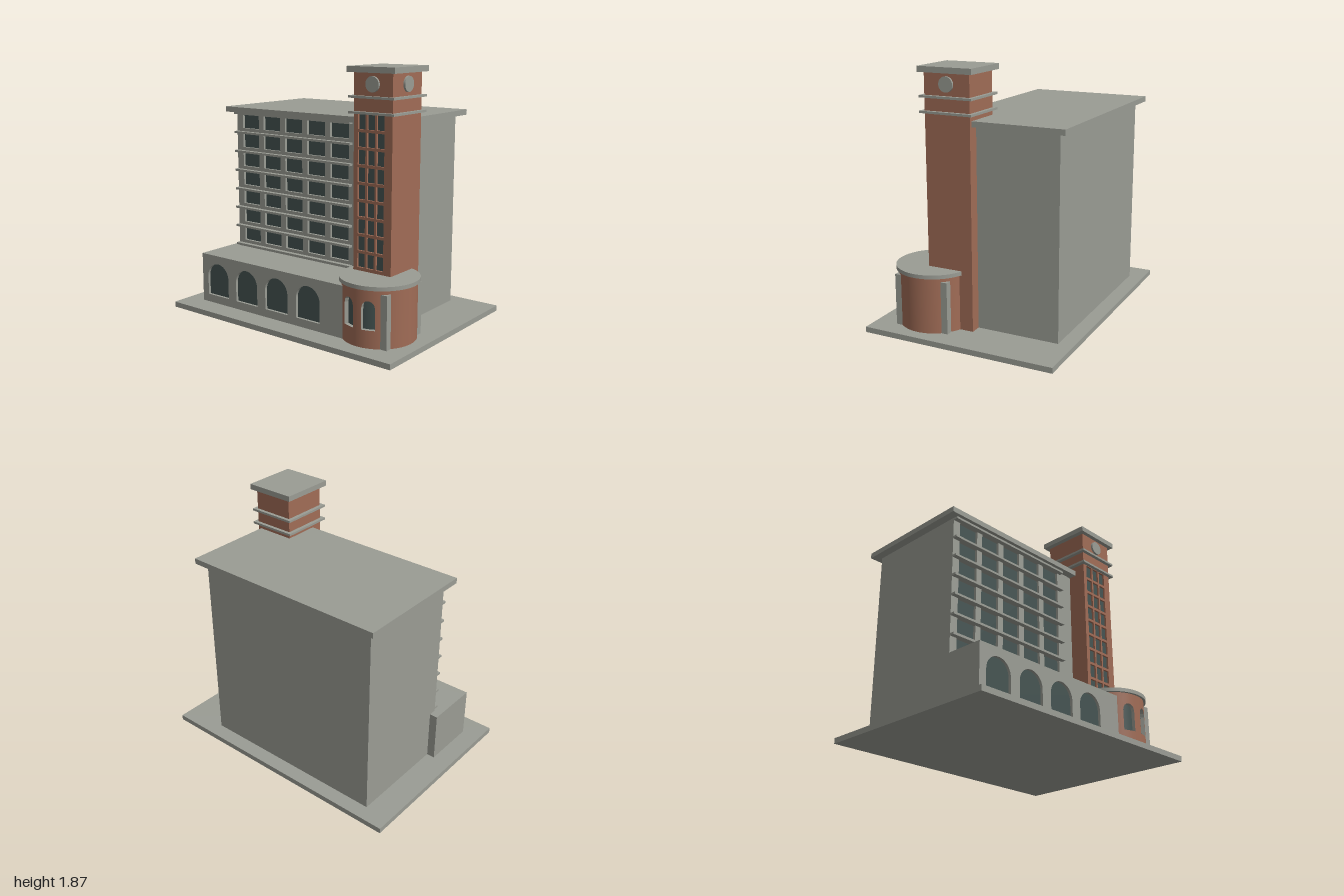
import * as THREE from 'three';

const mat = (name, color, side = THREE.FrontSide) => {
  const m = new THREE.MeshStandardMaterial({ color, side });
  m.name = name;
  return m;
};

export function createModel() {
  const concrete = mat('concrete', 0x9a9c94);
  const concreteInner = mat('concreteReveal', 0x9a9c94, THREE.DoubleSide);
  const brick = mat('brick', 0xa06c56);
  const glass = mat('darkGlass', 0x445351);
  const model = new THREE.Group();
  model.name = 'officeBuilding';

  const add = (name, geometry, material, x = 0, y = 0, z = 0) => {
    const mesh = new THREE.Mesh(geometry, material);
    mesh.name = name;
    mesh.position.set(x, y, z);
    model.add(mesh);
    return mesh;
  };
  // Box given by its lower and upper limits
  const block = (name, material, x0, x1, y0, y1, z0, z1) =>
    add(name, new THREE.BoxGeometry(x1 - x0, y1 - y0, z1 - z0), material,
      (x0 + x1) / 2, (y0 + y1) / 2, (z0 + z1) / 2);

  const rectangle = (path, x0, x1, y0, y1) => {
    path.moveTo(x0, y0); path.lineTo(x1, y0); path.lineTo(x1, y1); path.lineTo(x0, y1);
    path.closePath();
    return path;
  };
  const arch = (cx, y0, spring, r) => {
    const p = new THREE.Path();
    p.moveTo(cx - r, y0); p.lineTo(cx + r, y0); p.lineTo(cx + r, spring);
    p.absarc(cx, spring, r, 0, Math.PI, false);
    p.closePath();
    return p;
  };
  // Block whose front wall has openings, with a glass sheet set back inside
  const facade = (name, material, x0, x1, y0, y1, z0, z1, depth, holes, glassArea) => {
    block(name + 'Body', material, x0, x1, y0, y1, z0, z1 - depth);
    const shape = rectangle(new THREE.Shape(), x0, x1, y0, y1);
    shape.holes.push(...holes);
    add(name + 'FrontWall', new THREE.ExtrudeGeometry(shape,
      { depth, bevelEnabled: false, curveSegments: 20 }), material, 0, 0, z1 - depth);
    const [a, b, c, d] = glassArea;
    block(name + 'Glass', glass, a, b, c, d, z1 - depth, z1 - depth + 0.005);
  };

  block('groundSlab', concrete, -1, 1, 0, 0.04, -0.72, 0.72);

  // Main block: seven floors of five windows
  const mainHoles = [];
  for (let row = 0; row < 7; row++) {
    for (let col = 0; col < 5; col++) {
      const x = -0.74 + col * 0.2135, y = 0.47 + row * 0.1475;
      mainHoles.push(rectangle(new THREE.Path(), x, x + 0.165, y, y + 0.11));
    }
  }
  facade('mainBlock', concrete, -0.8, 0.66, 0.04, 1.48, -0.61, 0.2, 0.025, mainHoles,
    [-0.76, 0.3, 0.45, 1.47]);
  block('mainRoof', concrete, -0.86, 0.72, 1.48, 1.52, -0.67, 0.26);
  for (let i = 0; i < 8; i++) {
    const y = 0.43 + i * 0.1475;
    block('floorLedge', concrete, -0.8, 0.31, y, y + 0.016, 0.19, 0.235);
  }

  // Podium with four arches
  const arches = [0, 1, 2, 3].map((i) => arch(-0.695 + i * 0.294, 0.1, 0.245, 0.107));
  facade('podium', concrete, -0.86, 0.52, 0.04, 0.415, 0.14, 0.55, 0.025, arches,
    [-0.82, 0.31, 0.08, 0.37]);

  // Tower: nine rows of three windows
  const towerHoles = [];
  for (let row = 0; row < 9; row++) {
    for (let col = 0; col < 3; col++) {
      const x = 0.464 + col * 0.077, y = 0.495 + row * 0.1195;
      towerHoles.push(rectangle(new THREE.Path(), x, x + 0.062, y, y + 0.1));
    }
  }
  facade('tower', brick, 0.43, 0.743, 0.04, 1.83, 0, 0.345, 0.02, towerHoles,
    [0.45, 0.7, 0.48, 1.565]);
  for (const y of [1.555, 1.66]) {
    block('towerBand', concrete, 0.402, 0.77, y, y + 0.016, -0.026, 0.372);
  }
  block('towerCap', concrete, 0.393, 0.778, 1.83, 1.87, -0.033, 0.377);

  // Round dials on the front and the right-hand face of the tower
  const dial = new THREE.CylinderGeometry(0.053, 0.053, 0.03, 40);
  add('frontDial', dial, concrete, 0.586, 1.755, 0.345).rotation.x = Math.PI / 2;
  add('sideDial', dial, concrete, 0.743, 1.755, 0.173).rotation.z = -Math.PI / 2;

  // Entrance drum: plain round wall, with a front sector that holds two arched openings
  const CX = 0.654, CZ = 0.345, R = 0.26, INNER = 0.232, Y0 = 0.04, Y1 = 0.445;
  const rad = THREE.MathUtils.degToRad;
  const STEP = 1.5, EDGE = 28.5, MID = 18, HALF = 10.5, SILL = 0.165;
  add('drumWall', new THREE.CylinderGeometry(R, R, Y1 - Y0, 72, 1, true,
    rad(EDGE), rad(360 - 2 * EDGE)), brick, CX, (Y0 + Y1) / 2, CZ);

  const wall = [], reveal = [];
  const at = (deg, y, r) => [r * Math.sin(rad(deg)), y, r * Math.cos(rad(deg))];
  const quad = (list, a, b, c, d) => list.push(...a, ...b, ...c, ...a, ...c, ...d);
  const panel = (a, b, ya, yb, ta, tb) =>
    quad(wall, at(a, ya, R), at(b, yb, R), at(b, tb, R), at(a, ta, R));
  const ledge = (a, b, ya, yb) =>
    quad(reveal, at(a, ya, R), at(b, yb, R), at(b, yb, INNER), at(a, ya, INNER));
  const headAt = (deg) => {
    const t = (Math.abs(deg) - MID) / HALF;
    return 0.317 + 0.049 * Math.sqrt(Math.max(0, 1 - t * t));
  };
  for (let a = -EDGE; a < EDGE; a += STEP) {
    const b = a + STEP;
    if (Math.abs(a + STEP / 2) < MID - HALF) {
      panel(a, b, Y0, Y0, Y1, Y1);
      continue;
    }
    panel(a, b, Y0, Y0, SILL, SILL);
    panel(a, b, headAt(a), headAt(b), Y1, Y1);
    ledge(a, b, SILL, SILL);
    ledge(a, b, headAt(a), headAt(b));
  }
  for (const side of [-1, 1]) {
    for (const deg of [MID - HALF, MID + HALF]) ledge(side * deg, side * deg, SILL, 0.317);
  }
  const surface = (list) => {
    const g = new THREE.BufferGeometry();
    g.setAttribute('position', new THREE.Float32BufferAttribute(list, 3));
    g.computeVertexNormals();
    return g;
  };
  add('drumWindowWall', surface(wall), brick, CX, 0, CZ);
  add('drumWindowReveals', surface(reveal), concreteInner, CX, 0, CZ);
  add('drumGlass', new THREE.CylinderGeometry(INNER, INNER, 0.24, 30, 1, true,
    rad(-32), rad(64)), glass, CX, 0.26, CZ);
  add('drumRoof', new THREE.CylinderGeometry(0.278, 0.278, 0.028, 72), concrete, CX, 0.458, CZ);

  // Square pillars on the outer diagonals of the drum
  for (const side of [-1, 1]) {
    const z = CZ + side * 0.18;
    block('drumPillar', concrete, 0.8, 0.858, 0.04, 0.415, z - 0.029, z + 0.029);
  }
  return model;
}
